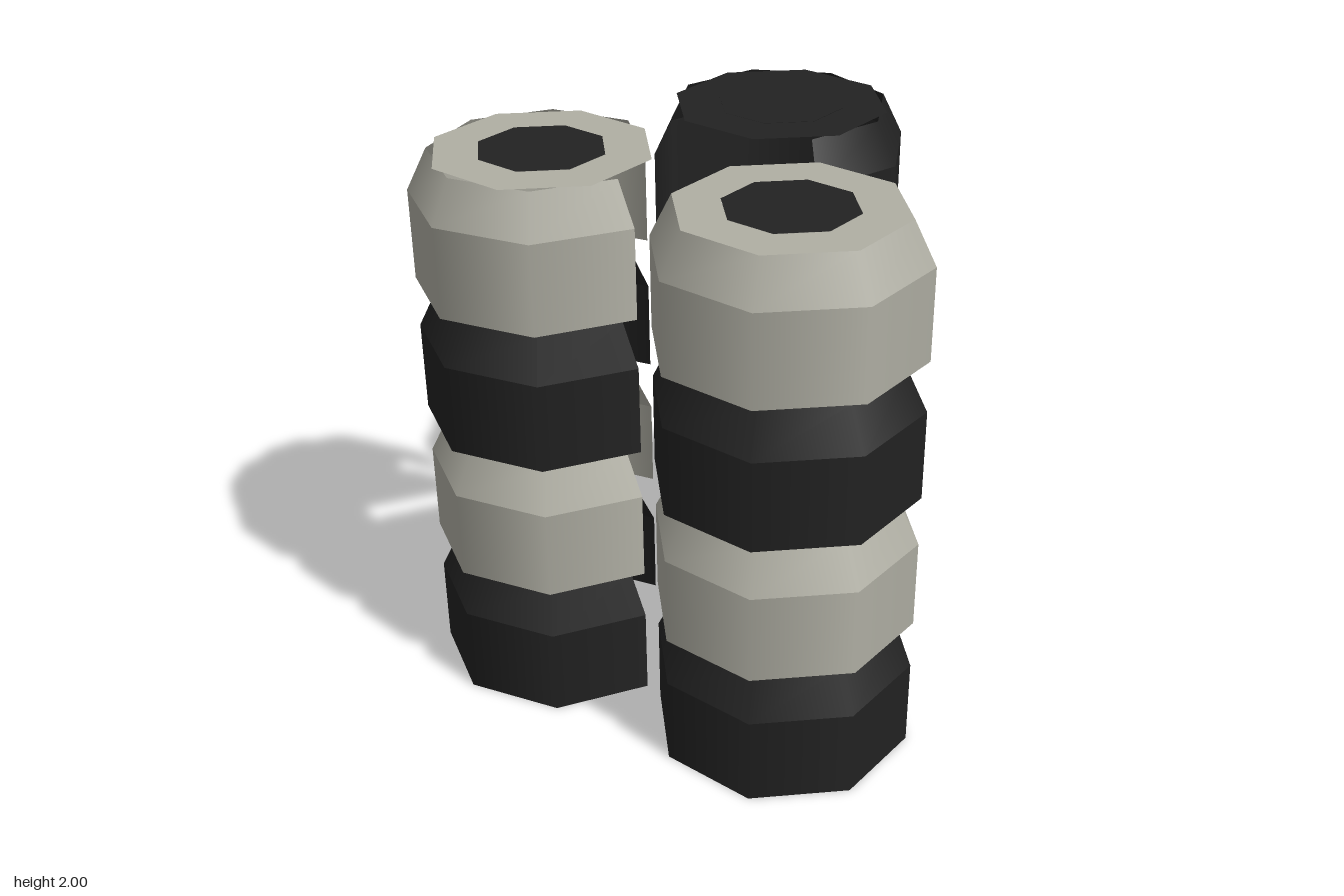
import * as THREE from 'three';

const deg = Math.PI / 180;

export function createModel() {
  const dark = new THREE.MeshStandardMaterial({ color: 0x222222, side: THREE.DoubleSide });
  dark.name = 'charcoal';
  const light = new THREE.MeshStandardMaterial({ color: 0xb0afa4, side: THREE.DoubleSide });
  light.name = 'warmGrey';

  const radius = 0.462, topRadius = 0.387, hubRadius = 0.226;
  const wallHeight = 0.325, bevelHeight = 0.15, step = 0.508, levels = 4;

  // Open octagonal shells: six of eight sides, centred on +z
  const band = (rTop, rBottom, height, y) =>
    new THREE.CylinderGeometry(rTop, rBottom, height, 6, 1, true, -135 * deg, 270 * deg)
      .translate(0, y + height / 2, 0);
  const wallGeo = band(radius, radius, wallHeight, 0);
  const bevelGeo = band(topRadius, radius, bevelHeight, wallHeight);

  // Flat eight-sided top plate and its centre
  const plateGeo = new THREE.RingGeometry(hubRadius, topRadius, 8, 1).rotateX(-Math.PI / 2);
  const hubGeo = new THREE.CircleGeometry(hubRadius, 8).rotateX(-Math.PI / 2);

  const add = (parent, name, geometry, material, y = 0) => {
    const mesh = new THREE.Mesh(geometry, material);
    mesh.name = name;
    mesh.position.y = y;
    parent.add(mesh);
    return mesh;
  };

  // Each stack alternates colours; its open side faces the middle
  const stack = (name, x, z, turn, bottom, next) => {
    const group = new THREE.Group();
    group.name = name;
    group.position.set(x, 0, z);
    for (let i = 0; i < levels; i++) {
      const tyre = new THREE.Group();
      tyre.name = 'tyre' + (i + 1);
      tyre.position.y = i * step;
      tyre.rotation.y = turn * deg;
      const material = i % 2 ? next : bottom;
      add(tyre, 'wall', wallGeo, material);
      add(tyre, 'bevel', bevelGeo, material);
      group.add(tyre);
    }
    const top = (levels - 1) * step + wallHeight + bevelHeight;
    add(group, 'topPlate', plateGeo, next, top);
    add(group, 'topHub', hubGeo, dark, top + 0.001);
    return group;
  };

  const model = new THREE.Group();
  model.name = 'tyreStacks';
  model.add(
    stack('frontStack', 0, 0.411, 0, dark, light),
    stack('rightStack', -0.465, -0.429, -120, dark, light),
    stack('leftStack', 0.465, -0.429, 120, light, dark)
  );
  return model;
}
